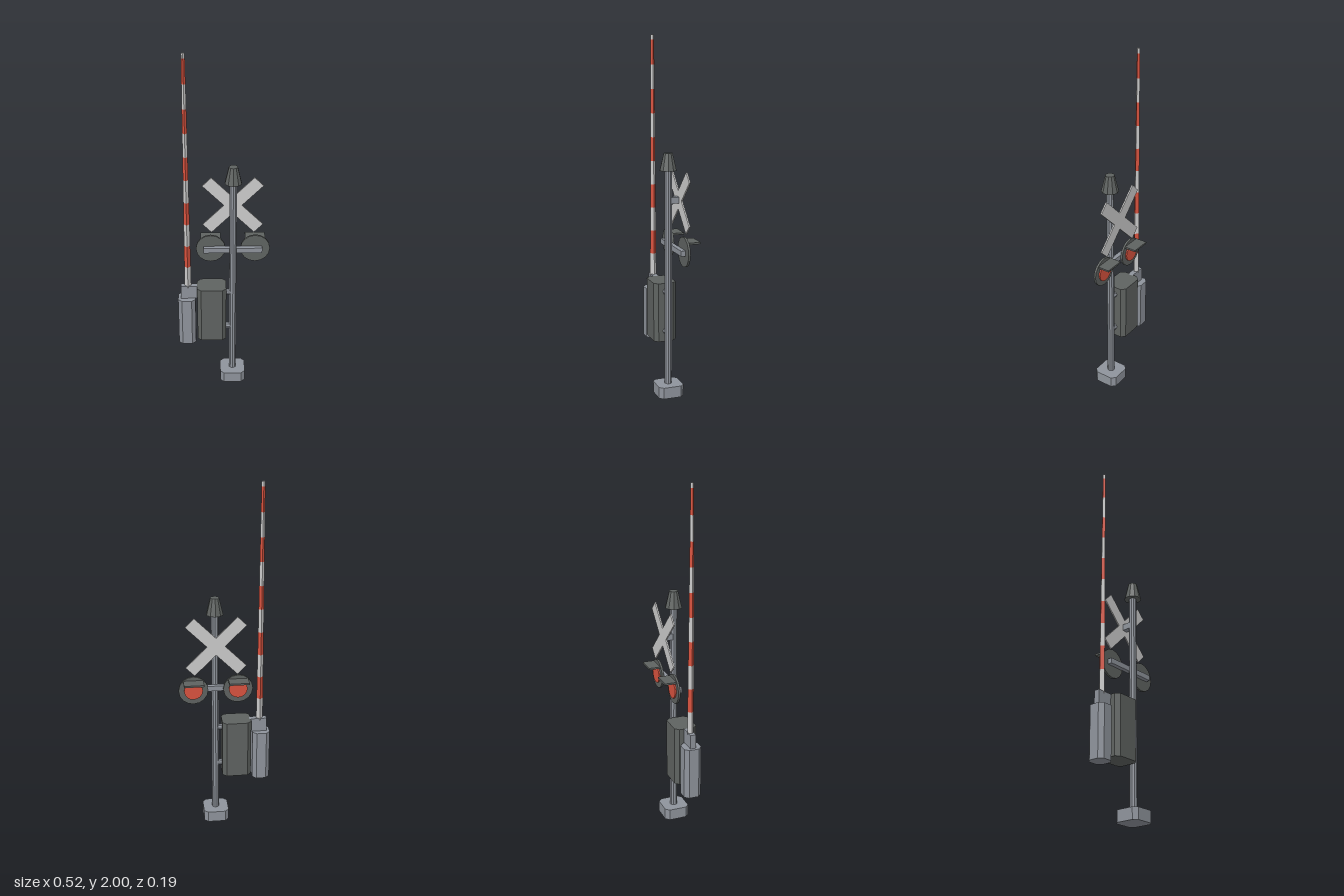
import * as THREE from 'three';

const mat = (color) => new THREE.MeshStandardMaterial({ color, flatShading: true });

export function createModel() {
  const root = new THREE.Group();
  const steel = mat(0x8f949c), dark = mat(0x5f6361), white = mat(0xcccccc), red = mat(0xd9533f);
  const PX = 0.05, PZ = 0.022; // post axis

  const add = (name, geo, material, x, y, z, parent = root) => {
    const m = new THREE.Mesh(geo, material);
    m.name = name;
    m.position.set(x, y, z);
    parent.add(m);
    return m;
  };
  const box = (w, h, d) => new THREE.BoxGeometry(w, h, d);

  // Upright block with chamfered vertical edges, standing on its origin
  const chamferBlock = (w, h, d, c) => {
    const a = w / 2, b = d / 2;
    const pts = [[a - c, -b], [a, c - b], [a, b - c], [a - c, b], [c - a, b], [-a, b - c], [-a, c - b], [c - a, -b]];
    const shape = new THREE.Shape(pts.map(([x, y]) => new THREE.Vector2(x, y)));
    return new THREE.ExtrudeGeometry(shape, { depth: h, bevelEnabled: false }).rotateX(-Math.PI / 2);
  };

  // Post with foot and cap
  add('foot', chamferBlock(0.145, 0.065, 0.145, 0.022), steel, PX, 0, PZ);
  add('post', new THREE.CylinderGeometry(0.021, 0.021, 1.23, 10), steel, PX, 0.675, PZ);
  add('postCap', new THREE.CylinderGeometry(0.025, 0.048, 0.095, 10), dark, PX, 1.33, PZ);

  // Crossed boards and their bracket
  add('crossBracket', box(0.035, 0.035, 0.05), steel, PX, 1.118, -0.011);
  const cross = new THREE.Group();
  cross.name = 'crossBoards';
  cross.position.set(PX, 1.118, -0.0395);
  root.add(cross);
  for (const s of [-1, 1]) {
    add('crossBoard', box(0.405, 0.07, 0.008), white, 0, 0, 0, cross).rotation.z = s * Math.PI / 4;
  }

  // Pair of warning lamps on a crossbar, facing the back
  add('lampBar', box(0.328, 0.03, 0.026), steel, 0.051, 0.855, -0.005);
  for (const s of [-1, 1]) {
    const lamp = new THREE.Group();
    lamp.name = 'lamp';
    lamp.position.set(0.051 + s * 0.125, 0.855, 0);
    root.add(lamp);
    const disc = (r, t) => new THREE.CylinderGeometry(r, r, t, 16).rotateX(Math.PI / 2);
    add('lampPlate', disc(0.083, 0.012), dark, 0, 0, -0.024, lamp);
    add('lampLens', disc(0.052, 0.009), red, 0, 0, -0.0335, lamp);
    add('lampVisor', box(0.112, 0.01, 0.068), dark, 0, 0.055, -0.063, lamp);
  }

  // Control cabinet clamped to the post
  add('cabinet', chamferBlock(0.165, 0.34, 0.13, 0.022), dark, -0.07, 0.3, PZ);
  for (const y of [0.362, 0.593]) {
    add('cabinetClamp', new THREE.CylinderGeometry(0.018, 0.018, 0.06, 8).rotateZ(Math.PI / 2), steel, 0.025, y, PZ);
  }

  // Gate counterweight and pivot
  add('counterweight', chamferBlock(0.099, 0.295, 0.1, 0.022), steel, -0.2125, 0.265, PZ);
  add('gatePivot', box(0.1, 0.08, 0.032), steel, -0.195, 0.6, PZ);

  // Raised tapering gate arm, striped in equal bands
  const arm = new THREE.Group();
  arm.name = 'gateArm';
  root.add(arm);
  const y0 = 0.63, y1 = 2, step = 0.1343;
  const radius = (y) => THREE.MathUtils.lerp(0.019, 0.0095, (y - y0) / (y1 - y0));
  for (let i = 0; i < 11; i++) {
    const lo = y0 + i * step, hi = Math.min(lo + step, y1);
    add(i % 2 ? 'redBand' : 'whiteBand', new THREE.CylinderGeometry(radius(hi), radius(lo), hi - lo, 4),
      i % 2 ? red : white, -0.205, (lo + hi) / 2, PZ, arm);
  }
  return root;
}
